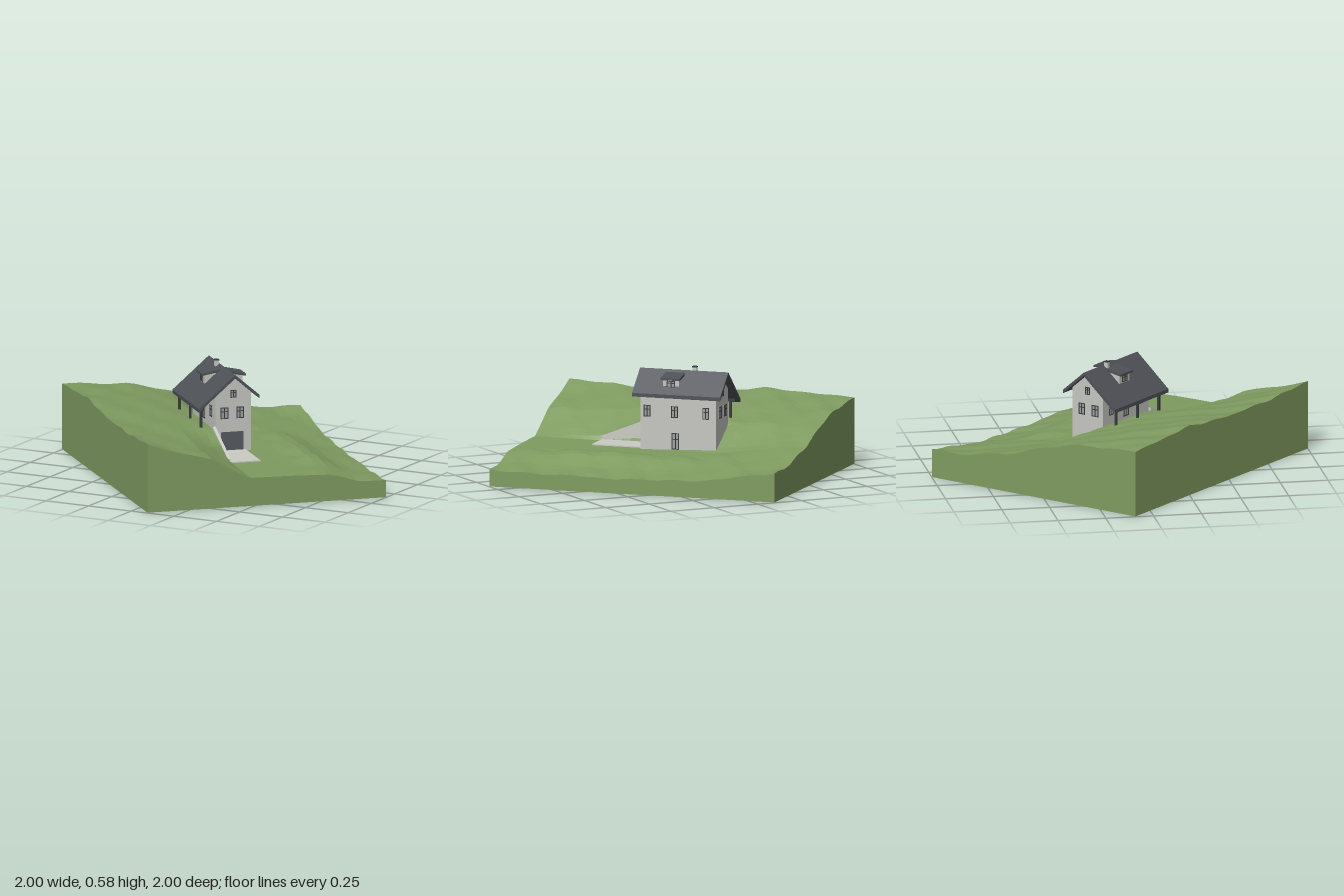
import * as THREE from 'three';

const material = (name, color, extra = {}) => {
  const m = new THREE.MeshStandardMaterial({ color, ...extra });
  m.name = name;
  return m;
};

export function createModel() {
  const grass = material('grass', 0x7f9b60, { flatShading: true });
  const plaster = material('plaster', 0xc6c6c1);
  const concrete = material('concrete', 0xcbcbc5);
  const slate = material('slate', 0x4e5157);
  const dark = material('dark frames', 0x3b3d3f);
  const pane = material('glass', 0x9fa2a2);
  const doorGrey = material('garage grey', 0x565a60);

  const model = new THREE.Group();
  // The plot is laid out square to local x and z, then turned by 45 degrees
  const site = new THREE.Group();
  site.name = 'site';
  site.rotation.y = -Math.PI / 4;
  model.add(site);

  const add = (name, geometry, mat, parent = site) => {
    const mesh = new THREE.Mesh(geometry, mat);
    mesh.name = name;
    parent.add(mesh);
    return mesh;
  };
  // Box given by its limits
  const block = (name, mat, x0, x1, y0, y1, z0, z1, parent = site) => {
    const mesh = add(name, new THREE.BoxGeometry(x1 - x0, y1 - y0, z1 - z0), mat, parent);
    mesh.position.set((x0 + x1) / 2, (y0 + y1) / 2, (z0 + z1) / 2);
    return mesh;
  };
  // Prism with a (z, y) profile running along x
  const prism = (name, mat, points, x0, x1) => {
    const shape = new THREE.Shape(points.map(([z, y]) => new THREE.Vector2(-z, y)));
    const g = new THREE.ExtrudeGeometry(shape, { depth: x1 - x0, bevelEnabled: false });
    g.rotateY(Math.PI / 2);
    g.translate(x0, 0, 0);
    return add(name, g, mat);
  };

  // Terrain heights: cross-sections along z at several x stations
  const zKnots = [-0.64, -0.5, -0.36, -0.22, -0.105, 0.08, 0.1, 0.3, 0.46, 0.64];
  const xKnots = [-0.775, -0.3, 0.13, 0.41, 0.775];
  const sections = [
    [0.15, 0.15, 0.165, 0.2, 0.22, 0.28, 0.285, 0.325, 0.34, 0.35],
    [0.085, 0.11, 0.14, 0.15, 0.155, 0.27, 0.28, 0.32, 0.345, 0.37],
    [0.08, 0.1, 0.165, 0.147, 0.148, 0.148, 0.272, 0.3, 0.32, 0.34],
    [0.08, 0.1, 0.16, 0.147, 0.148, 0.148, 0.17, 0.28, 0.31, 0.345],
    [0.09, 0.1, 0.135, 0.145, 0.148, 0.15, 0.155, 0.265, 0.3, 0.36],
  ];
  const sample = (knots, values, t) => {
    let i = 0;
    while (i < knots.length - 2 && t > knots[i + 1]) i++;
    const k = THREE.MathUtils.clamp((t - knots[i]) / (knots[i + 1] - knots[i]), 0, 1);
    return values[i] + (values[i + 1] - values[i]) * k;
  };
  const height = (x, z) => {
    const base = sample(xKnots, sections.map((s) => sample(zKnots, s, z)), x);
    const level = x > -0.3 && z > -0.28 && z < 0.12;
    const bumps = Math.sin(x * 17 + z * 6) * Math.sin(z * 15 - x * 5) + 0.6 * Math.sin(x * 31 - z * 23);
    return base + (level ? 0 : 0.005 * bumps);
  };

  // Terrain block: surface grid, cut sides and underside
  const span = (a, b, n) => Array.from({ length: n }, (_, i) => a + ((b - a) * i) / n);
  const zs = [...span(-0.64, 0.08, 14), 0.08, ...span(0.1, 0.64, 11), 0.64];
  const xs = [...span(-0.775, 0.775, 32), 0.775];
  const floor = 0.002;
  const vertices = [];
  const quad = (a, b, c, d) => vertices.push(...a, ...b, ...c, ...a, ...c, ...d);
  const top = (i, j) => [xs[i], height(xs[i], zs[j]), zs[j]];
  const nx = xs.length - 1;
  const nz = zs.length - 1;
  for (let i = 0; i < nx; i++) {
    for (let j = 0; j < nz; j++) quad(top(i, j), top(i, j + 1), top(i + 1, j + 1), top(i + 1, j));
  }
  const rim = [];
  for (let j = 0; j < nz; j++) rim.push(top(0, j));
  for (let i = 0; i < nx; i++) rim.push(top(i, nz));
  for (let j = nz; j > 0; j--) rim.push(top(nx, j));
  for (let i = nx; i > 0; i--) rim.push(top(i, 0));
  const down = (p) => [p[0], floor, p[2]];
  rim.forEach((p, i) => {
    const q = rim[(i + 1) % rim.length];
    quad(down(p), down(q), q, p);
  });
  quad(down(top(0, 0)), down(top(nx, 0)), down(top(nx, nz)), down(top(0, nz)));
  const land = new THREE.BufferGeometry();
  land.setAttribute('position', new THREE.Float32BufferAttribute(vertices, 3));
  land.computeVertexNormals();
  add('terrain', land, grass);

  // House body with gables, and the longer roof slope over the porch
  const X0 = -0.275, X1 = 0.135, Z0 = -0.105, Z1 = 0.085, ridge = -0.01;
  prism('walls', plaster, [[Z0, 0], [Z1, 0], [Z1, 0.457], [ridge, 0.54], [Z0, 0.457]], X0, X1);
  const roofY = (z) => 0.556 - 0.86 * Math.abs(z - ridge);
  const t = 0.019;
  prism('roof', slate, [
    [-0.14, roofY(-0.14)], [ridge, roofY(ridge)], [0.185, roofY(0.185)],
    [0.185, roofY(0.185) - t], [ridge, roofY(ridge) - t], [-0.14, roofY(-0.14) - t],
  ], -0.31, 0.17);

  // Porch posts and beam
  for (const x of [-0.264, -0.072, 0.12]) block('porchPost', dark, x - 0.006, x + 0.006, 0.26, 0.39, 0.154, 0.166);
  block('porchBeam', dark, -0.29, 0.15, 0.376, 0.39, 0.154, 0.166);

  // Driveway and its sloping retaining wall
  block('driveway', concrete, X1, 0.41, 0, 0.154, -0.075, 0.085);
  const wallShape = new THREE.Shape([[X1, 0], [0.41, 0], [0.41, 0.172], [X1, 0.282]].map((p) => new THREE.Vector2(...p)));
  const retaining = new THREE.ExtrudeGeometry(wallShape, { depth: 0.016, bevelEnabled: false });
  add('retainingWall', retaining, concrete).position.z = 0.085;

  // Wall faces: local z points outwards
  const face = (name, x, z, turn) => {
    const g = new THREE.Group();
    g.name = name;
    g.position.set(x, 0, z);
    g.rotation.y = turn;
    site.add(g);
    return g;
  };
  const opening = (parent, name, x, y, w, h) => {
    const b = 0.004;
    block(name + 'Pane', pane, x - w / 2, x + w / 2, y, y + h, 0, 0.002, parent);
    for (const k of [-1, 0, 1]) {
      const c = x + (k * (w - b)) / 2;
      block(name + 'Upright', dark, c - b / 2, c + b / 2, y, y + h, 0, 0.005, parent);
    }
    for (const c of [y, y + h * 0.6, y + h - b]) {
      block(name + 'Bar', dark, x - w / 2, x + w / 2, c, c + b, 0, 0.005, parent);
    }
  };

  const garageEnd = face('garageEnd', X1, 0, Math.PI / 2);
  block('garageDoor', doorGrey, -0.056, 0.064, 0.154, 0.25, 0, 0.004, garageEnd);
  const hillEnd = face('hillEnd', X0, 0, -Math.PI / 2);
  for (const [end, s] of [[garageEnd, 1], [hillEnd, -1]]) {
    opening(end, 'window', -0.038 * s, 0.32, 0.04, 0.06);
    opening(end, 'window', 0.046 * s, 0.32, 0.04, 0.06);
    opening(end, 'atticWindow', 0.01 * s, 0.43, 0.03, 0.04);
  }
  const downhill = face('downhillSide', 0, Z0, Math.PI);
  for (const x of [-0.1, 0.05, 0.22]) opening(downhill, 'window', x, 0.32, 0.036, 0.06);
  opening(downhill, 'sideDoor', 0.055, 0.155, 0.04, 0.085);
  const porch = face('porchSide', 0, Z1, 0);
  for (const x of [-0.2, 0.06]) opening(porch, 'window', x, 0.32, 0.04, 0.06);
  opening(porch, 'porchDoor', -0.07, 0.285, 0.045, 0.095);

  // Shed dormers, one on each slope
  const dormer = (name, x0, x1, zWall, zEave, zTop) => {
    const s = Math.sign(zWall - ridge);
    prism(name + 'Body', plaster, [[ridge, 0.47], [zWall, 0.44], [zWall, 0.518], [ridge, 0.53]], x0 + 0.01, x1 - 0.01);
    prism(name + 'Roof', slate, [[zTop, 0.544], [zEave, 0.525], [zEave, 0.514], [zTop, 0.531]], x0, x1);
    const front = face(name + 'Front', 0, zWall, s > 0 ? 0 : Math.PI);
    opening(front, 'dormerWindow', ((x0 + x1) / 2) * s, 0.475, 0.045, 0.035);
  };
  dormer('porchDormer', -0.145, -0.035, 0.09, 0.106, 0);
  dormer('downhillDormer', -0.08, 0.025, -0.096, -0.112, -0.025);

  // Chimney with a cap
  block('chimney', concrete, -0.134, -0.114, 0.52, 0.572, -0.006, 0.014);
  block('chimneyCap', dark, -0.136, -0.112, 0.572, 0.577, -0.008, 0.016);

  return model;
}
